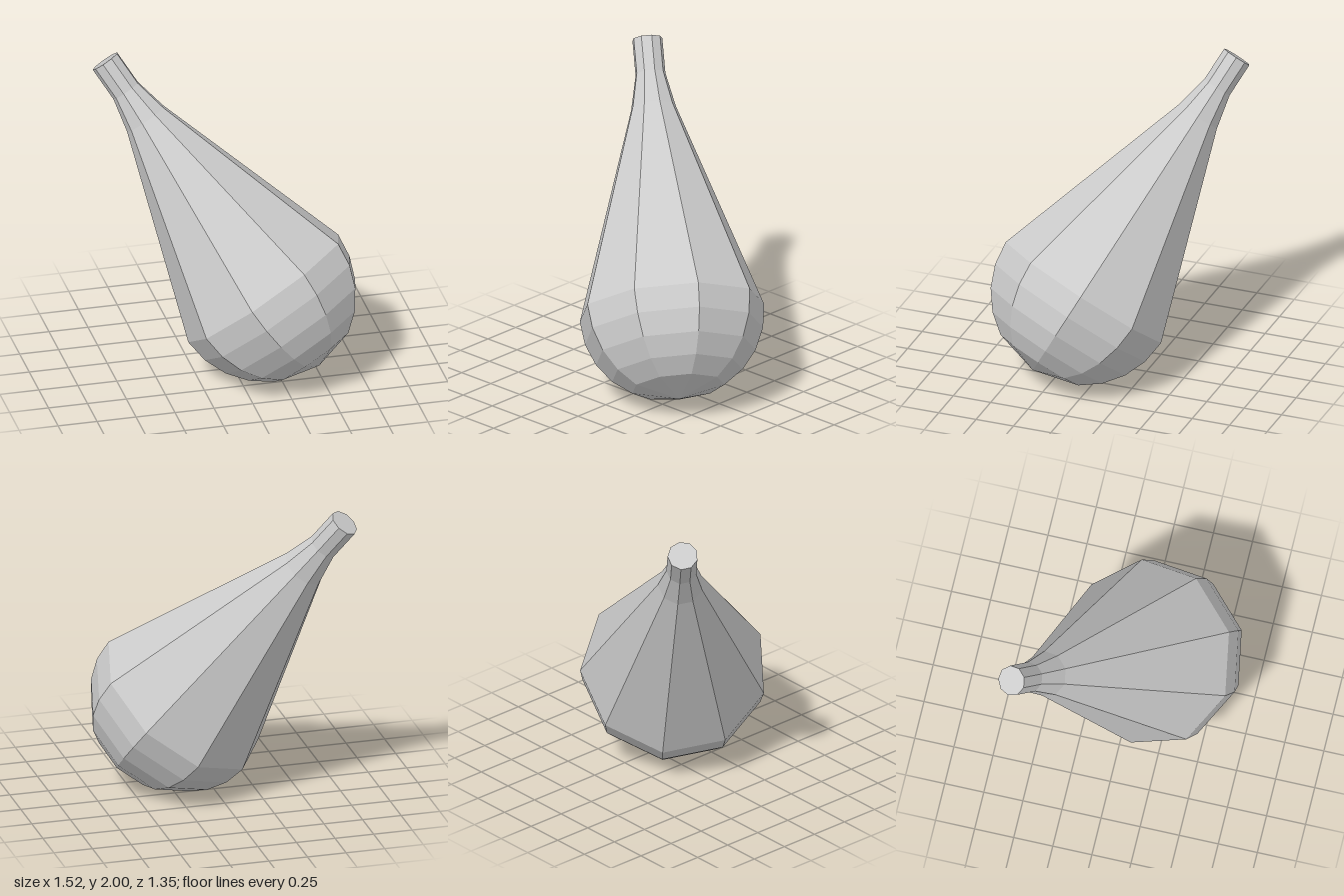
import * as THREE from 'three';

const SIDES = 9;

export function createModel() {
  const group = new THREE.Group();
  group.name = 'teardropBulb';

  // Profile along the axis, from the round end up to the neck; y = 0 is the widest ring
  const R = 0.586;
  const profile = [new THREE.Vector2(0, -R)];
  for (const deg of [60, 45, 30, 15, 0]) {
    const t = THREE.MathUtils.degToRad(deg);
    profile.push(new THREE.Vector2(R * Math.cos(t), -R * Math.sin(t)));
  }
  // Straight taper, flare into the slim neck, flat end cap
  for (const [r, y] of [[0.142, 1.308], [0.095, 1.524], [0.095, 1.75], [0, 1.75]]) {
    profile.push(new THREE.Vector2(r, y));
  }

  const body = new THREE.Mesh(
    new THREE.LatheGeometry(profile, SIDES),
    new THREE.MeshStandardMaterial({ color: 0xcccccc, flatShading: true })
  );
  body.name = 'bulbBody';

  // Lean the body on its round end, with one ridge turned to the front
  const axis = new THREE.Vector3(-0.491, 0.778, -0.393).normalize();
  const ridge = new THREE.Vector3(0.227, 0.547, 0.806);
  const side = new THREE.Vector3().crossVectors(axis, ridge).normalize();
  ridge.crossVectors(side, axis);
  body.quaternion.setFromRotationMatrix(new THREE.Matrix4().makeBasis(side, axis, ridge));
  body.position.set(0.18, 0.587, 0.098);

  group.add(body);
  return group;
}
